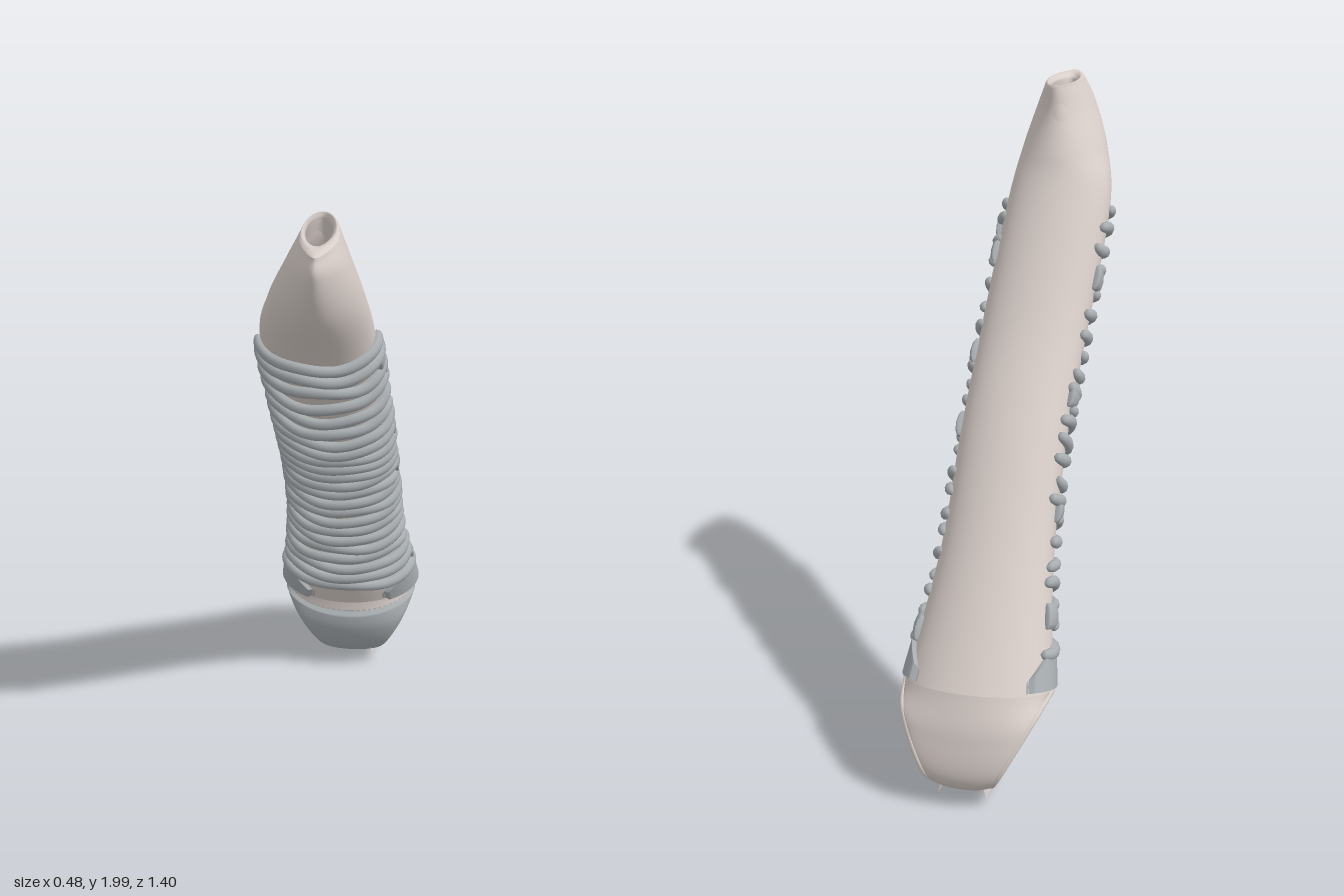
import * as THREE from 'three';
import { mergeVertices } from 'three/addons/utils/BufferGeometryUtils.js';

const V = (x, y, z) => new THREE.Vector3(x, y, z);
const curve = pts => new THREE.CatmullRomCurve3(pts.map(p => V(...p)), false, 'catmullrom', 0.5);

// Tube cross-sections: front z, front y, back z, back y, centre x, half width, front pinch
const sections = [
  [0.69, 1.985, 0.355, 1.985, -0.025, 0.055, 0.45],
  [0.695, 1.92, 0.345, 1.90, -0.03, 0.09, 0.4],
  [0.62, 1.77, 0.30, 1.79, -0.04, 0.135, 0.2],
  [0.45, 1.56, 0.24, 1.67, -0.045, 0.165, 0],
  [0.20, 1.20, 0.02, 1.32, -0.02, 0.168, 0],
  [0.00, 0.92, -0.18, 1.04, -0.005, 0.168, 0],
  [-0.19, 0.61, -0.40, 0.71, -0.003, 0.178, 0],
  [-0.345, 0.30, -0.64, 0.36, 0.003, 0.228, 0],
];
const LAST = sections.length - 1;
const frontLine = curve(sections.map(s => [s[4], s[1], s[0]]));
const backLine = curve(sections.map(s => [s[4], s[3], s[2]]));
const widthLine = curve(sections.map(s => [s[5], s[6], 0]));

// Point on the windpipe wall: v runs down the sections, a runs round from the front
function wall(v, a) {
  const t = THREE.MathUtils.clamp(v / LAST, 0, 1);
  const f = frontLine.getPoint(t), b = backLine.getPoint(t), w = widthLine.getPoint(t);
  const c = Math.cos(a);
  const p = f.clone().add(b).multiplyScalar(0.5);
  p.addScaledVector(f.sub(b), 0.5 * c);
  p.x += w.x * Math.sin(a) * (1 - w.y * Math.max(0, c) ** 2);
  return p;
}

// Outward normal and downward direction of a surface function
function frame(fn, v, a) {
  const e = 0.01;
  const down = fn(v + e, a).sub(fn(v - e, a)).normalize();
  const round = fn(v, a + e).sub(fn(v, a - e));
  return { down, out: down.clone().cross(round).normalize() };
}

// Smooth surface from a function of two 0..1 parameters
function grid(fn, nu, nv) {
  const pos = [], idx = [];
  for (let j = 0; j <= nv; j++)
    for (let i = 0; i <= nu; i++) pos.push(...fn(i / nu, j / nv).toArray());
  for (let j = 0; j < nv; j++)
    for (let i = 0; i < nu; i++) {
      const a = j * (nu + 1) + i, b = a + nu + 1;
      idx.push(a, b, a + 1, b, b + 1, a + 1);
    }
  let g = new THREE.BufferGeometry();
  g.setAttribute('position', new THREE.Float32BufferAttribute(pos, 3));
  g.setIndex(idx);
  g = mergeVertices(g, 1e-5);
  g.computeVertexNormals();
  return g;
}

// Lower fork: each half sweeps from the tube's end round to the keel under the openings
const rimFront = curve([[0, 0.33, -0.4925], [0, 0.23, -0.40], [0, 0.10, -0.425], [0, 0.015, -0.56]]);
const wallFront = curve([[0, 0.30, -0.345], [0, 0.19, -0.358], [0, 0.07, -0.43], [0, 0.0, -0.56]]);
const rimBack = curve([[0, 0.33, -0.4925], [0, 0.27, -0.62], [0, 0.11, -0.68], [0, 0.015, -0.56]]);
const wallBack = curve([[0, 0.36, -0.64], [0, 0.23, -0.685], [0, 0.08, -0.69], [0, 0.0, -0.56]]);

function fork(rim, mid, t, a) {
  const e = rim.getPoint(t), m = mid.getPoint(t);
  const w = 0.055 + 0.173 * e.y / 0.33;
  const p = e.clone().lerp(m, Math.cos(a));
  p.x = 0.003 + 0.015 * t + w * Math.sin(a);
  return p;
}

function seeded(seed) {
  return () => (seed = (seed * 16807) % 2147483647) / 2147483647;
}

export function createModel() {
  const model = new THREE.Group();
  const tissue = new THREE.MeshStandardMaterial({ color: 0xd8cec9, side: THREE.DoubleSide });
  const cartilage = new THREE.MeshStandardMaterial({ color: 0xa8adb0, side: THREE.DoubleSide });
  const add = (name, geo, mat, parent = model) => {
    const m = new THREE.Mesh(geo, mat);
    m.name = name;
    parent.add(m);
  };
  const TAU = Math.PI * 2;

  // Main tube
  add('windpipeWall', grid((u, v) => wall(v * LAST, u * TAU), 64, 120), tissue);

  // Lip of the top opening, folding over and down inside
  const inner = a => V(-0.03 + 0.036 * Math.sin(a), 1.975, 0.47 + 0.108 * Math.cos(a));
  add('topLip', grid((u, v) => {
    const a = u * TAU;
    if (v <= 0.5) {
      const p = wall(0, a).lerp(inner(a), v * 2);
      p.y += 0.012 * Math.sin(v * TAU);
      return p;
    }
    const low = wall(2.2, a).lerp(V(-0.04, 1.74, 0.43), 0.15);
    return inner(a).lerp(low, (v - 0.5) * 2);
  }, 48, 16), tissue);

  // Fork walls with an opening on each side
  const half = u => (u - 0.5) * Math.PI;
  add('forkFrontWall', grid((u, v) => fork(rimFront, wallFront, v, half(u)), 32, 32), tissue);
  add('forkBackWall', grid((u, v) => fork(rimBack, wallBack, v, half(u)), 32, 32), tissue);

  // Rolled rims round both openings
  for (const side of [-1, 1]) {
    const pts = [];
    for (let i = 0; i < 16; i++) pts.push(fork(rimFront, wallFront, i / 16, side * Math.PI / 2));
    for (let i = 16; i > 0; i--) pts.push(fork(rimBack, wallBack, i / 16, side * Math.PI / 2));
    const path = new THREE.CatmullRomCurve3(pts, true);
    add(side > 0 ? 'leftOpeningRim' : 'rightOpeningRim', new THREE.TubeGeometry(path, 80, 0.009, 8, true), tissue);
  }

  // Saddle dividing the two branches
  add('dividingRidge', grid((u, v) => {
    const x = u * 2 - 1, s = v * 2 - 1;
    return V(0.012 + 0.075 * x, 0.03 + (0.12 + 0.06 * s * s) * (1 - x * x), -0.54 + s * (0.15 - 0.03 * x * x));
  }, 16, 20), tissue);

  // Raised band following the wall between two angles, rounded at its ends
  const band = (v0, a0, a1, axial, thick, phase) => grid((u, w) => {
    const s = w * 2 - 1, a = a0 + (a1 - a0) * w, al = u * TAU;
    const v = v0 + 0.022 * Math.sin(a * 2.3 + phase) + 0.012 * Math.sin(a * 5 + phase * 2);
    const { down, out } = frame(wall, v, a);
    const k = Math.sqrt(Math.max(0, 1 - s ** 12));
    return wall(v, a)
      .addScaledVector(out, 0.004 + thick * k * Math.cos(al))
      .addScaledVector(down, axial * k * Math.sin(al));
  }, 10, 44);

  // C-shaped rings, open at the back
  const rings = new THREE.Group();
  rings.name = 'cartilageRings';
  model.add(rings);
  const rand = seeded(41);
  const count = 23, ringV = i => 3.02 + i * 3.66 / (count - 1);
  for (let i = 0; i < count; i++) {
    const a0 = -1.6 - 0.5 * rand(), a1 = 1.6 + 0.5 * rand();
    add('ring' + (i + 1), band(ringV(i), a0, a1, 0.021, 0.019, rand() * TAU), cartilage, rings);
  }
  // Bridges where neighbouring rings join
  for (const [i, a] of [[1, 1.5], [2, 1.75], [7, 1.7], [11, 1.6], [21, 1.75], [3, -1.6], [9, -1.7], [15, -1.55], [20, -1.7]])
    add('ringBridge', band(ringV(i + 0.5), a - 0.22, a + 0.22, 0.042, 0.016, i), cartilage, rings);

  // Plate over the front of the fork, with flaps rising on both sides
  const frontPoint = (t, a) => fork(rimFront, wallFront, t, a);
  add('forkPlate', grid((u, v) => {
    const a = half(u) * 0.99, t = 0.02 + 0.96 * v + 0.08 * (1 - v) * Math.cos(a);
    const edge = v < 0.03 || v > 0.97 ? 0 : 0.012;
    const n = frame(frontPoint, THREE.MathUtils.clamp(t, 0.02, 0.97), a).out;
    return frontPoint(t, a).addScaledVector(n, edge);
  }, 36, 36), cartilage);
  for (const side of [-1, 1])
    add(side > 0 ? 'leftPlateFlap' : 'rightPlateFlap', grid((u, v) => {
      const a = side * (0.55 + 1.75 * u);
      const rise = 0.36 * Math.sin(Math.PI * Math.min(1, 0.08 + u * 0.85));
      const t = LAST - 0.02 - rise * (1 - v);
      const edge = v < 0.05 || u < 0.03 || u > 0.97 ? 0 : 0.013;
      return wall(t, a).addScaledVector(frame(wall, LAST - 0.1 - rise * (1 - v), a).out, edge);
    }, 36, 20), cartilage);

  return model;
}
